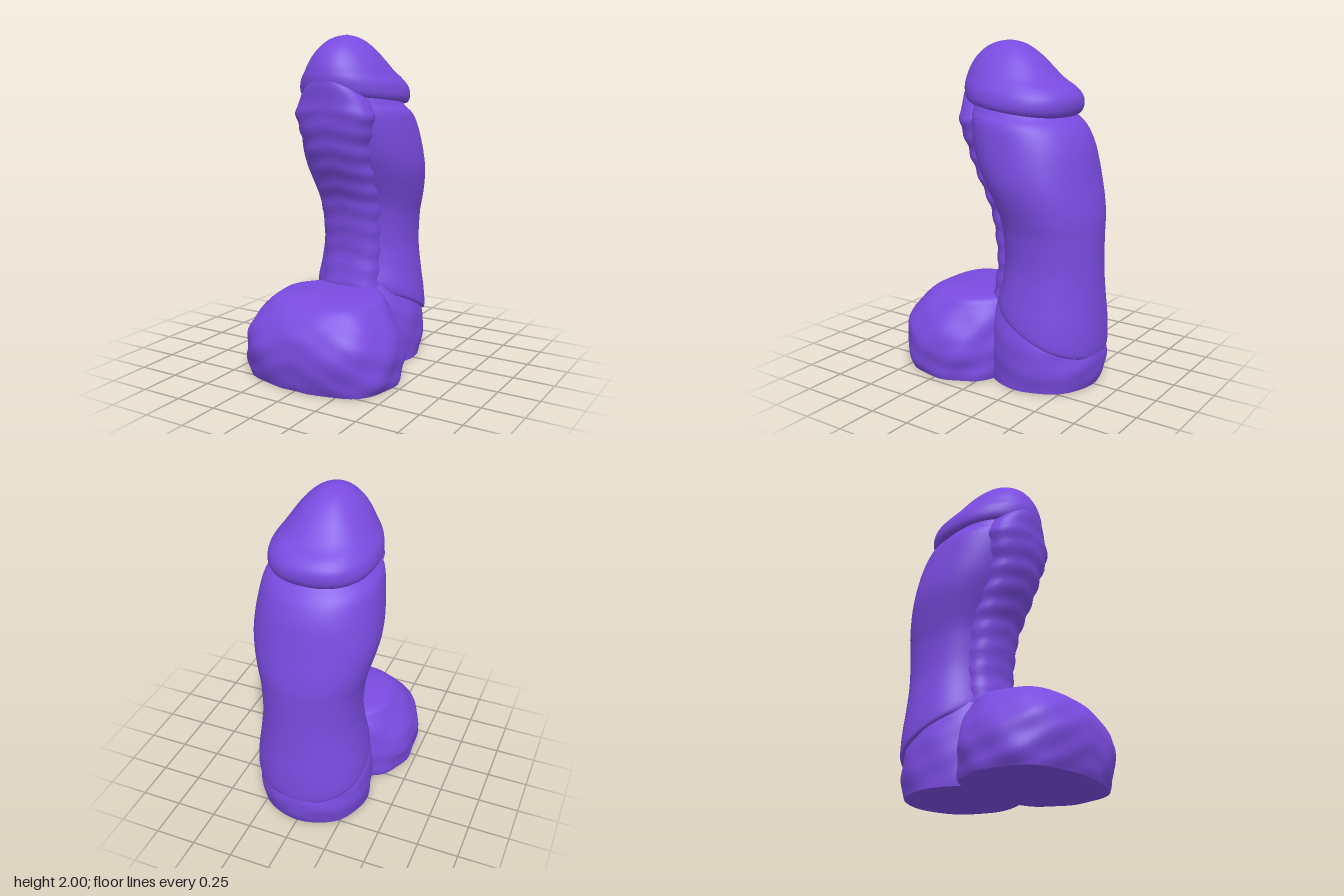
import * as THREE from 'three';
import { toCreasedNormals } from 'three/addons/utils/BufferGeometryUtils.js';

const SEG = 64;   // points round each ring
const STEPS = 5;  // rings between two sections

const power = (v, p) => Math.sign(v) * Math.abs(v) ** p;

// Lofts sections [yFront, yBack, zFront, zBack, halfWidth] into a closed skin.
// Lower pFront/pBack make that side squarer; bump(x, y, z, t) returns a scale.
function loft(sections, { pFront = 1, pBack = 1, bump } = {}) {
  const rings = [];
  const n = sections.length;
  for (let s = 0; s < n - 1; s++) {
    const [a, b, c, d] = [-1, 0, 1, 2].map(k => sections[Math.min(n - 1, Math.max(0, s + k))]);
    for (let k = 0; k < STEPS; k++) {
      const u = k / STEPS;
      rings.push(b.map((v, i) => {
        const m0 = (c[i] - a[i]) / 2, m1 = (d[i] - v) / 2;
        return v + m0 * u + (3 * (c[i] - v) - 2 * m0 - m1) * u * u
          + (2 * (v - c[i]) + m0 + m1) * u ** 3;
      }));
    }
  }
  rings.push(sections[n - 1]);

  // Collapsed rings close both ends
  const close = ([yf, yb, zf, zb]) => [(yf + yb) / 2, (yf + yb) / 2, (zf + zb) / 2, (zf + zb) / 2, 0];
  rings.unshift(close(rings[0]));
  rings.push(close(rings[rings.length - 1]));

  const pos = [], index = [];
  rings.forEach(([yf, yb, zf, zb, hw], i) => {
    const mid = (zf + zb) / 2, r = (zf - zb) / 2;
    for (let j = 0; j < SEG; j++) {
      const t = (j / SEG) * Math.PI * 2;
      const p = Math.sin(t) > 0 ? pFront : pBack;
      const sz = power(Math.sin(t), p);
      const x = hw * power(Math.cos(t), p);
      const y = yb + (yf - yb) * (sz + 1) / 2;
      const k = bump ? bump(x, y, mid + r * sz, t) : 1;
      pos.push(x * k, y, mid + r * sz * k);
      if (i < rings.length - 1) {
        const a = i * SEG + j, c = i * SEG + (j + 1) % SEG;
        index.push(a, a + SEG, c, c, a + SEG, c + SEG);
      }
    }
  });
  const geo = new THREE.BufferGeometry();
  geo.setAttribute('position', new THREE.Float32BufferAttribute(pos, 3));
  geo.setIndex(index);
  return toCreasedNormals(geo, 0.9);
}

// Mirrored lumps for the wrinkled base
const lumps = (x, y, z) => {
  const ax = Math.abs(x);
  return 1 + 0.018 * Math.sin(ax * 21 + y * 14) * Math.sin(y * 27 - z * 9 + 1)
    + 0.012 * Math.sin(z * 25 + y * 18 + ax * 6);
};

export function createModel() {
  const group = new THREE.Group();
  const purple = new THREE.MeshStandardMaterial({ color: 0x7a4be0 });
  purple.name = 'purple';
  const add = (name, geo) => {
    const mesh = new THREE.Mesh(geo, purple);
    mesh.name = name;
    group.add(mesh);
  };

  // Wide rounded front of the base
  add('frontBase', loft([
    [0, 0, 0.575, -0.13, 0.455],
    [0.06, 0.06, 0.605, -0.14, 0.472],
    [0.15, 0.15, 0.62, -0.15, 0.48],
    [0.25, 0.25, 0.615, -0.15, 0.468],
    [0.34, 0.34, 0.59, -0.14, 0.415],
    [0.42, 0.42, 0.53, -0.12, 0.365],
    [0.475, 0.48, 0.46, -0.1, 0.31],
    [0.5, 0.495, 0.37, -0.04, 0.22],
  ], { pFront: 0.75, bump: lumps }));

  // Rear of the base under the shaft
  add('rearBase', loft([
    [0, 0, 0.08, -0.595, 0.335],
    [0.07, 0.07, 0.08, -0.62, 0.345],
    [0.15, 0.15, 0.08, -0.63, 0.35],
    [0.25, 0.25, 0.08, -0.615, 0.345],
    [0.36, 0.36, 0.07, -0.59, 0.325],
    [0.5, 0.48, 0.04, -0.57, 0.29],
  ], { bump: (x, y, z) => 1 + (lumps(x, y, z) - 1) * 0.6 }));

  // Curved shaft with an overlapping lower lip
  add('shaft', loft([
    [0.47, 0.19, -0.05, -0.6, 0.32],
    [0.48, 0.21, -0.02, -0.625, 0.342],
    [0.52, 0.36, -0.01, -0.625, 0.335],
    [0.62, 0.52, -0.03, -0.612, 0.313],
    [0.75, 0.7, -0.04, -0.602, 0.295],
    [0.9, 0.9, -0.03, -0.6, 0.304],
    [1, 1, -0.015, -0.598, 0.325],
    [1.1, 1.1, 0.025, -0.583, 0.35],
    [1.2, 1.2, 0.075, -0.562, 0.368],
    [1.3, 1.3, 0.125, -0.543, 0.368],
    [1.42, 1.4, 0.165, -0.52, 0.356],
    [1.53, 1.48, 0.185, -0.485, 0.34],
    [1.58, 1.53, 0.19, -0.45, 0.322],
    [1.62, 1.57, 0.2, -0.41, 0.288],
    [1.7, 1.62, 0.2, -0.36, 0.25],
  ], { pFront: 0.85, pBack: 0.95 }));

  // Raised, softly rippled band down the front
  add('frontRidge', loft([
    [0.4, 0.4, 0.05, -0.2, 0.2],
    [0.52, 0.52, 0.05, -0.2, 0.19],
    [0.68, 0.68, 0.025, -0.2, 0.185],
    [0.85, 0.85, 0.04, -0.2, 0.185],
    [1, 1, 0.07, -0.18, 0.19],
    [1.1, 1.1, 0.11, -0.14, 0.195],
    [1.2, 1.2, 0.16, -0.1, 0.2],
    [1.3, 1.3, 0.205, -0.06, 0.205],
    [1.4, 1.4, 0.235, -0.03, 0.22],
    [1.52, 1.52, 0.262, 0, 0.25],
    [1.62, 1.62, 0.265, 0, 0.225],
    [1.72, 1.72, 0.272, 0.03, 0.15],
    [1.8, 1.8, 0.26, 0.1, 0.05],
  ], {
    pFront: 0.8,
    bump: (x, y) => 1 + 0.03 * Math.sin(y * 52 + Math.abs(x) * 12) * (y < 1.6 ? 1 : 0.2),
  }));

  // Rounded cap with a tilted rim
  add('cap', loft([
    [1.68, 1.59, 0.19, -0.35, 0.25],
    [1.66, 1.58, 0.235, -0.405, 0.295],
    [1.69, 1.62, 0.262, -0.437, 0.312],
    [1.75, 1.68, 0.272, -0.437, 0.3],
    [1.8, 1.73, 0.264, -0.4, 0.266],
    [1.84, 1.775, 0.25, -0.33, 0.238],
    [1.885, 1.835, 0.225, -0.265, 0.203],
    [1.93, 1.895, 0.188, -0.208, 0.16],
    [1.968, 1.95, 0.135, -0.14, 0.11],
    [1.99, 1.985, 0.075, -0.075, 0.058],
    [2, 2, 0.005, -0.005, 0.004],
  ], { pBack: 0.85 }));

  return group;
}
